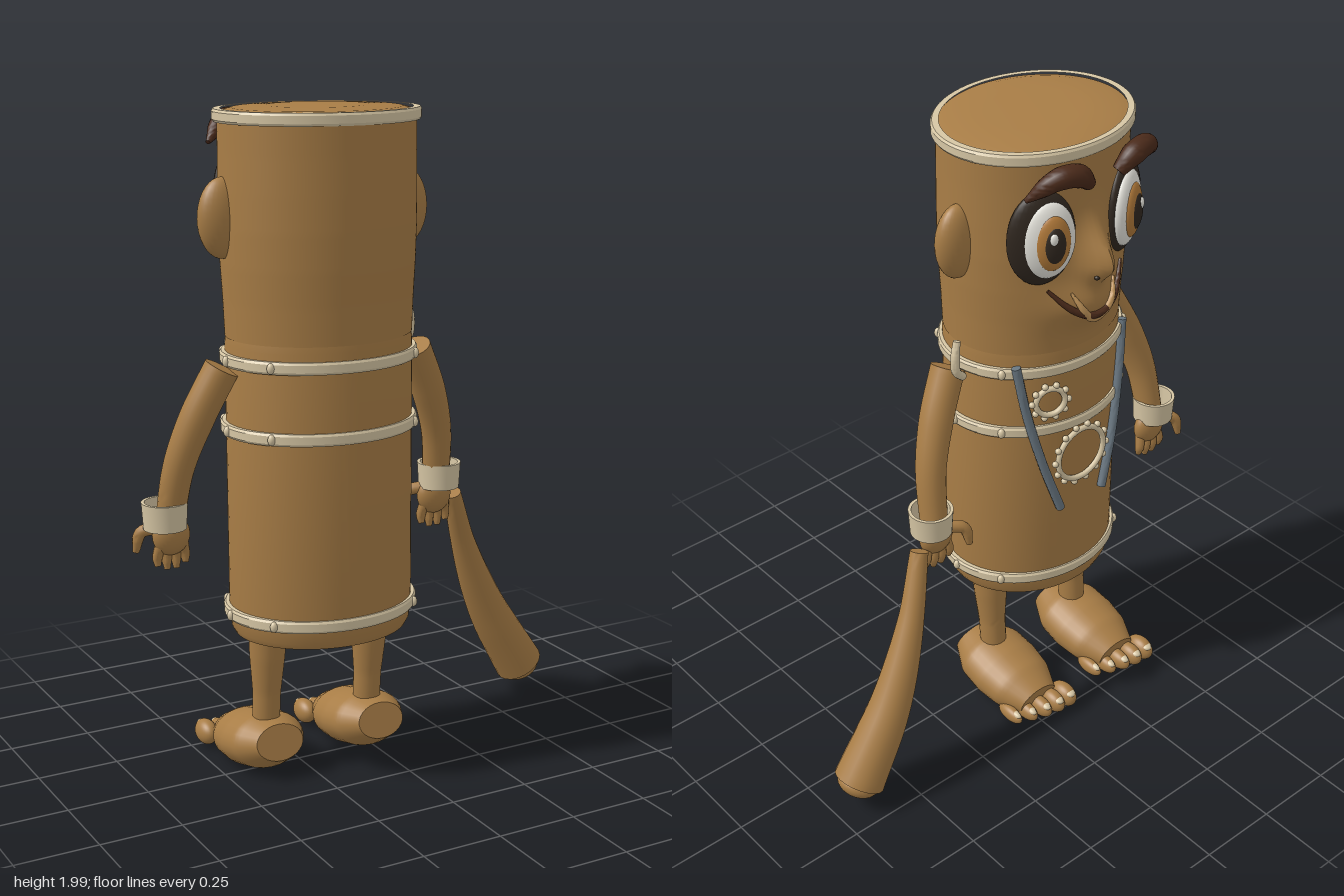
import * as THREE from 'three';
import { toCreasedNormals } from 'three/addons/utils/BufferGeometryUtils.js';

const mat = (name, color) => {
  const m = new THREE.MeshStandardMaterial({ color });
  m.name = name;
  return m;
};
const CX = -0.195, CZ = 0.047, DEPTH = 0.85; // body axis and front-to-back squash
const V = (a) => new THREE.Vector3(...a);
const lerpList = (list, u) => {
  const f = u * (list.length - 1), i = Math.min(Math.floor(f), list.length - 2);
  return list[i] + (list[i + 1] - list[i]) * (f - i);
};

// Closed tube along a curve with a changing radius
function sweep(pts, radii, sides = 20, steps = 28) {
  const curve = new THREE.CatmullRomCurve3(pts.map(V));
  const g = new THREE.TubeGeometry(curve, steps, 1, sides);
  const p = g.attributes.position, n = g.attributes.normal;
  for (let i = 0; i <= steps; i++) {
    const u = THREE.MathUtils.clamp((i - 1) / (steps - 2), 0, 1);
    const c = curve.getPointAt(u), r = i === 0 || i === steps ? 0 : lerpList(radii, u);
    for (let j = 0; j <= sides; j++) {
      const k = i * (sides + 1) + j;
      p.setXYZ(k, c.x + n.getX(k) * r, c.y + n.getY(k) * r, c.z + n.getZ(k) * r);
    }
  }
  return toCreasedNormals(g, 0.9);
}
const lathe = (pts, seg = 64) =>
  toCreasedNormals(new THREE.LatheGeometry(pts.map((q) => new THREE.Vector2(...q)), seg), 0.6);

// Nose and muzzle swelling on the front of the head
function bulge(dx, y) {
  const sy = y > 1.635 ? 0.1 : 0.06;
  return 0.09 * Math.exp(-((dx / 0.045) ** 2) - ((y - 1.635) / sy) ** 2)
    + 0.045 * Math.exp(-((dx / 0.12) ** 2) - ((y - 1.5) / 0.07) ** 2);
}
const frontZ = (dx, y, r = 0.291) => CZ - DEPTH * Math.sqrt(r * r - dx * dx) - bulge(dx, y);

export function createModel() {
  const root = new THREE.Group();
  const wood = mat('wood', 0xa87d46), cream = mat('cream', 0xd6c6a4), white = mat('eyeWhite', 0xe6e4dc);
  const dark = mat('dark', 0x30271f), brown = mat('browBrown', 0x4a2a1a), iris = mat('iris', 0xb27a3a);
  const steel = mat('steel', 0x68757f), lipTan = mat('lip', 0xc0945a);

  const add = (name, geo, m, pos = [0, 0, 0], parent = root) => {
    const mesh = new THREE.Mesh(geo, m);
    mesh.name = name;
    mesh.position.set(...pos);
    parent.add(mesh);
    return mesh;
  };
  const ball = (name, m, pos, size, parent = root) => {
    const b = add(name, new THREE.SphereGeometry(1, 28, 18), m, pos, parent);
    b.scale.set(...size);
    return b;
  };

  // Barrel torso
  add('torso', lathe([[0, 0.457], [0.265, 0.457], [0.275, 0.475], [0.281, 0.53], [0.281, 1.33], [0.277, 1.36], [0.2, 1.36]]),
    wood, [CX, 0, CZ]).scale.z = DEPTH;

  // Head with domed lid, nose pulled out of the front
  const rows = [];
  for (let i = 0; i <= 48; i++) rows.push([lerpList([0.28, 0.284, 0.29, 0.293, 0.293, 0.292, 0.292], i / 48), 1.35 + i * 0.013]);
  const headGeo = new THREE.LatheGeometry(
    [...rows, [0.285, 1.985], [0.25, 1.994], [0.15, 1.999], [0, 2]].map((q) => new THREE.Vector2(...q)), 128);
  const hp = headGeo.attributes.position;
  for (let i = 0; i < hp.count; i++) {
    const z = hp.getZ(i) * DEPTH, y = hp.getY(i);
    hp.setZ(i, z < -0.05 && y < 1.97 ? z - bulge(hp.getX(i), y) : z);
  }
  add('head', toCreasedNormals(headGeo, 0.7), wood, [CX, 0, CZ]);

  // Hoops with rivets
  for (const [y, r] of [[1.975, 0.308], [1.29, 0.298], [1.085, 0.298], [0.53, 0.298]]) {
    const hoop = lathe([[r - 0.025, -0.018], [r - 0.005, -0.018], [r, -0.011], [r, 0.011], [r - 0.005, 0.018], [r - 0.025, 0.018]]);
    add('hoop', hoop, cream, [CX, y, CZ]).scale.z = DEPTH - 0.02;
    if (y < 1.9) for (const a of [0.9, Math.PI / 2, 2.2, -0.9, -Math.PI / 2, -2.2])
      ball('rivet', cream, [CX + r * Math.sin(a), y, CZ + r * 0.83 * Math.cos(a)], [0.011, 0.016, 0.011]);
  }

  for (const s of [1, -1]) {
    const side = (dx) => CX + s * dx;
    ball('ear', wood, [side(0.293), 1.695, 0.03], [0.075, 0.115, 0.046]);

    // Layered eye
    const eye = new THREE.Group();
    eye.name = 'eye';
    eye.position.set(side(0.15), 1.735, -0.165);
    eye.rotation.y = Math.PI - s * 0.42;
    root.add(eye);
    ball('eyeSocket', dark, [-s * 0.006, 0, 0], [0.1, 0.146, 0.036], eye);
    ball('eyeWhite', white, [s * 0.01, 0, 0.017], [0.078, 0.118, 0.034], eye);
    ball('iris', iris, [s * 0.016, 0, 0.036], [0.052, 0.086, 0.025], eye);
    ball('pupil', dark, [s * 0.018, 0, 0.047], [0.034, 0.06, 0.02], eye);
    ball('glint', white, [s * 0.012, 0.024, 0.062], [0.012, 0.018, 0.008], eye);

    // Arched brow, thick toward the middle
    add('brow', sweep([[side(0.055), 1.9, -0.24], [side(0.1), 1.94, -0.248], [side(0.16), 1.945, -0.235], [side(0.235), 1.885, -0.185]],
      [0.02, 0.033, 0.032, 0.024, 0.007]), brown);
    ball('nostril', dark, [side(0.024), 1.6, frontZ(0.024, 1.6)], [0.008, 0.007, 0.008]);

    // Suspender bar
    const bar = [[0.21, 1.315], [0.185, 1.15], [0.14, 0.96], [0.085, 0.79]].map(([dx, y]) =>
      [side(dx), y, CZ - 0.845 * Math.sqrt(0.0795 - dx * dx) - 0.014]);
    add('strap', sweep(bar, [0.014, 0.014], 12), steel);

    // Arm and cuff
    add('arm', sweep([[side(0.315), 1.275, 0.055], [side(0.38), 1.14, 0.03], [side(0.43), 0.99, 0], [side(0.45), 0.81, -0.035]],
      [0.052, 0.052, 0.046, 0.042]), wood);
    add('cuff', lathe([[0.055, -0.04], [0.063, -0.04], [0.068, 0.04], [0.058, 0.04], [0.055, -0.04]], 40),
      cream, [side(0.463), 0.84, -0.036]);

    // Hand, thumb on the same side for both
    const hand = new THREE.Group();
    hand.name = 'hand';
    hand.position.set(s > 0 ? 0.253 : -0.638, 0.77, -0.04);
    root.add(hand);
    ball('palm', wood, [0, 0.005, 0], [0.058, 0.06, 0.034], hand);
    for (let i = 0; i < 4; i++) {
      const x = -0.042 + i * 0.029, drop = i === 0 || i === 3 ? -0.085 : -0.098;
      add('finger', sweep([[x * 0.8, -0.02, 0], [x, -0.06, -0.008], [x, drop, -0.004]], [0.017, 0.016, 0.015, 0.009], 12, 12), wood, [0, 0, 0], hand);
    }
    add('thumb', sweep([[-0.03, 0.03, -0.01], [-0.08, 0.015, -0.035], [-0.093, -0.045, -0.045]], [0.02, 0.019, 0.017, 0.01], 12, 14), wood, [0, 0, 0], hand);

    // Leg
    const lx = s > 0 ? -0.02 : -0.367;
    add('leg', sweep([[lx, 0.5, 0.035], [lx, 0.32, 0.025], [lx, 0.14, 0.012]], [0.06, 0.054, 0.043, 0.042]), wood);

    // Foot with flat sole and five toes
    const foot = new THREE.Group();
    foot.name = 'foot';
    foot.position.x = lx;
    root.add(foot);
    const sole = sweep([[0, 0.125, 0.108], [0, 0.105, 0.03], [0, 0.08, -0.09], [0, 0.06, -0.21]], [0.055, 0.085, 0.088, 0.08, 0.052], 28);
    const sp = sole.attributes.position;
    for (let i = 0; i < sp.count; i++) sp.setXYZ(i, sp.getX(i) * 1.4, Math.max(sp.getY(i), 0.008), sp.getZ(i));
    sole.computeVertexNormals();
    add('footBody', toCreasedNormals(sole, 0.9), wood, [0, 0, 0], foot);
    for (let i = 0; i < 5; i++) {
      const x = -0.088 + i * 0.046, r = 0.034 - i * 0.003, z = -0.235 + i * i * 0.0032;
      ball('toe', wood, [x, r + 0.018, z], [r * 0.92, r * 1.15, 0.052], foot);
      ball('toenail', cream, [x, r * 1.65 + 0.016, z - 0.027], [r * 0.5, 0.011, 0.02], foot);
    }
  }

  // Mouth line and lower lip following the muzzle
  const smile = (off, w) => [...Array(9).keys()].map((i) => {
    const t = i / 4 - 1, dx = t * w, y = 1.467 + 0.1 * t * t + off;
    return [CX + dx, y, frontZ(dx, y) - 0.002];
  });
  add('mouth', sweep(smile(0, 0.14), [0.005, 0.01, 0.011, 0.01, 0.005], 12, 40), brown);
  add('lowerLip', sweep(smile(-0.016, 0.08), [0.004, 0.011, 0.012, 0.011, 0.004], 12, 32), lipTan);

  // Studded rings on the chest
  for (const [dx, y, r, n] of [[0.012, 0.965, 0.088, 14], [0.12, 1.185, 0.045, 10]]) {
    const ring = new THREE.Group();
    ring.name = 'chestRing';
    ring.position.set(CX + dx, y, CZ - DEPTH * Math.sqrt(0.079 - dx * dx) - 0.008);
    ring.rotation.y = Math.PI - Math.atan(dx * DEPTH / Math.sqrt(0.079 - dx * dx));
    root.add(ring);
    add('rim', new THREE.TorusGeometry(r, 0.009, 10, 40), cream, [0, 0, 0], ring);
    for (let i = 0; i < n; i++) {
      const a = (i / n) * Math.PI * 2;
      ball('stud', cream, [Math.cos(a) * (r + 0.012), Math.sin(a) * (r + 0.012), 0], [0.01, 0.01, 0.01], ring);
    }
  }

  // Small curved peg above one shoulder
  add('shoulderPeg', sweep([[0.115, 1.27, -0.008], [0.143, 1.3, -0.012], [0.147, 1.35, -0.012], [0.135, 1.398, -0.006]],
    [0.012, 0.014, 0.014, 0.011], 12), cream);

  // Bat with rounded end plug
  add('bat', sweep([[0.33, 0.765, -0.055], [0.41, 0.56, -0.105], [0.52, 0.33, -0.14], [0.66, 0.1, -0.15]],
    [0.028, 0.038, 0.055, 0.07, 0.08]), wood);
  const plug = ball('batEnd', wood, [0.665, 0.094, -0.15], [0.066, 0.04, 0.066]);
  plug.rotation.z = 0.53;
  return root;
}
